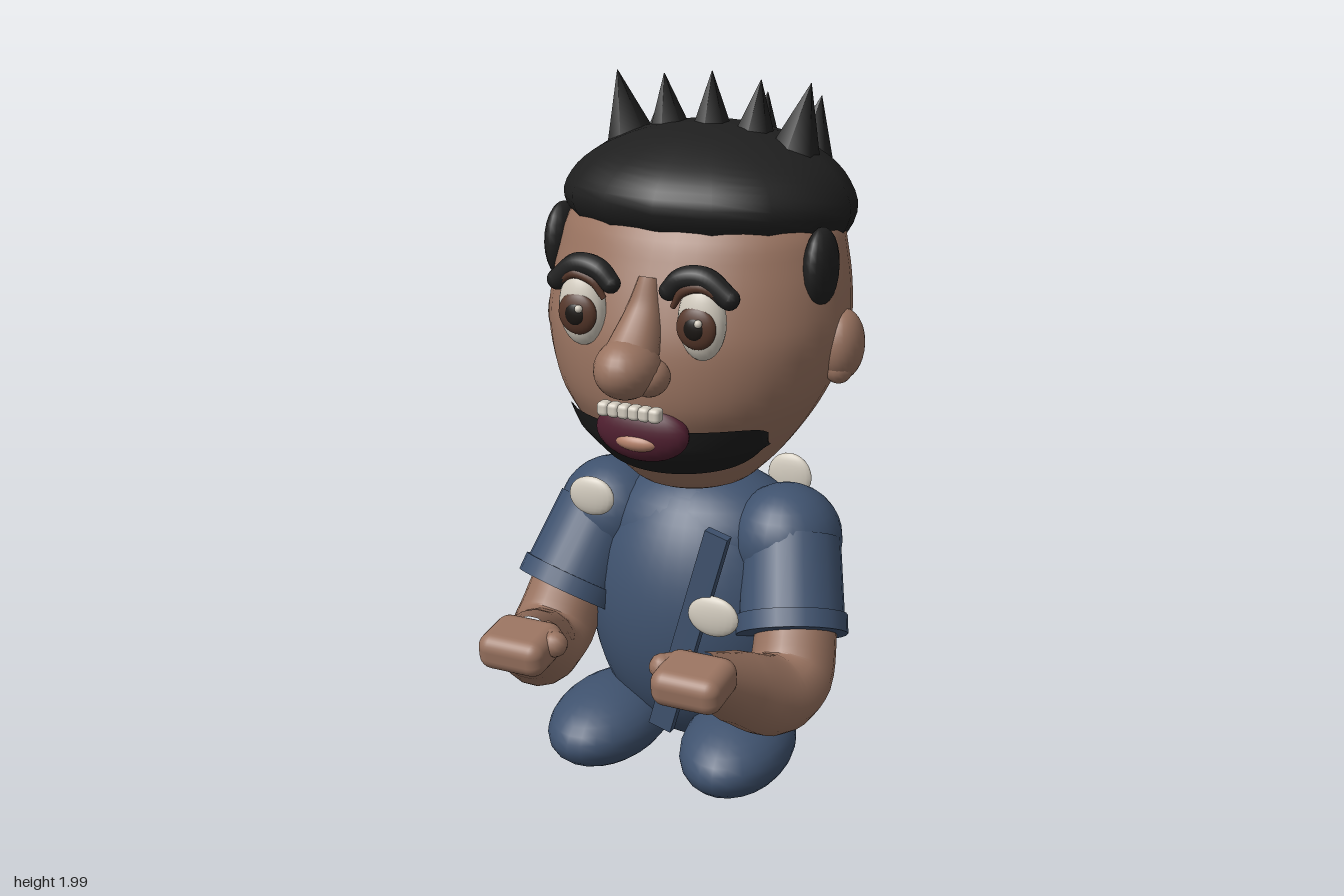
import * as THREE from 'three';
import { mergeVertices } from 'three/addons/utils/BufferGeometryUtils.js';
import { RoundedBoxGeometry } from 'three/addons/geometries/RoundedBoxGeometry.js';

const V = (x, y, z) => new THREE.Vector3(x, y, z);

// Moves every vertex by a rule, then welds the seams and smooths the normals
function warp(geo, rule) {
  const p = geo.attributes.position, v = V(0, 0, 0);
  for (let i = 0; i < p.count; i++) {
    v.fromBufferAttribute(p, i);
    rule(v);
    p.setXYZ(i, v.x, v.y, v.z);
  }
  geo.deleteAttribute('uv');
  geo.deleteAttribute('normal');
  const welded = mergeVertices(geo, 1e-5);
  welded.computeVertexNormals();
  return welded;
}

// Tube along points whose radius follows a list
function taperedTube(points, radii, rings = 24, sides = 16) {
  const curve = new THREE.CatmullRomCurve3(points);
  const geo = new THREE.TubeGeometry(curve, rings, 1, sides);
  const p = geo.attributes.position, n = geo.attributes.normal;
  for (let i = 0; i <= rings; i++) {
    const c = curve.getPointAt(i / rings), t = i / rings * (radii.length - 1);
    const k = Math.min(Math.floor(t), radii.length - 2);
    const r = THREE.MathUtils.lerp(radii[k], radii[k + 1], t - k);
    for (let j = 0; j <= sides; j++) {
      const q = i * (sides + 1) + j;
      p.setXYZ(q, c.x + r * n.getX(q), c.y + r * n.getY(q), c.z + r * n.getZ(q));
    }
  }
  return geo;
}

const profile = (list) => new THREE.SplineCurve(list.map(([x, y]) => new THREE.Vector2(x, y)));

export function createModel() {
  const model = new THREE.Group();
  const mat = (name, color, side = THREE.FrontSide) => {
    const m = new THREE.MeshStandardMaterial({ color, side });
    m.name = name;
    return m;
  };
  const skin = mat('skin', 0x997360), cloth = mat('blueCloth', 0x3f526e);
  const hair = mat('blackHair', 0x1f1f1f), beardMat = mat('beardBlack', 0x1c1c1c, THREE.DoubleSide);
  const white = mat('offWhite', 0xd2cbbe), irisMat = mat('irisBrown', 0x56372a);
  const pupilMat = mat('pupilBlack', 0x1a1613), maroon = mat('mouthMaroon', 0x501f30);
  const tongueMat = mat('tonguePink', 0xb5826b);

  const add = (name, geo, material, pos = [0, 0, 0]) => {
    const mesh = new THREE.Mesh(geo, material);
    mesh.name = name;
    mesh.position.set(...pos);
    model.add(mesh);
    return mesh;
  };
  const ball = (name, material, pos, radii, w = 24, h = 16) => {
    const mesh = add(name, new THREE.SphereGeometry(1, w, h), material, pos);
    mesh.scale.set(...radii);
    return mesh;
  };
  // Cylinder from a to b
  const rod = (name, material, a, b, ra, rb, sides = 24) => {
    const d = b.clone().sub(a);
    const mesh = add(name, new THREE.CylinderGeometry(rb, ra, d.length(), sides), material);
    mesh.position.copy(a).add(b).multiplyScalar(0.5);
    mesh.quaternion.setFromUnitVectors(V(0, 1, 0), d.normalize());
    return mesh;
  };

  // Head: narrow at the chin, full at the back
  const headPoints = profile([[0, 0.86], [0.14, 0.876], [0.212, 0.93], [0.275, 1.0], [0.345, 1.1], [0.396, 1.2],
    [0.427, 1.32], [0.428, 1.42], [0.412, 1.53], [0.38, 1.63], [0.27, 1.73], [0, 1.78]]).getPoints(44);
  const headCentre = (y) => -0.12 - 0.12 * (Math.max(y, 1.15) - 1.32);
  const headDepth = (y) => 0.905 + 0.34 * (1.32 - y);
  const headRadius = (y) => {
    const i = Math.max(1, headPoints.findIndex((p) => p.y >= y)), a = headPoints[i - 1], b = headPoints[i];
    return THREE.MathUtils.lerp(a.x, b.x, (y - a.y) / (b.y - a.y));
  };
  add('head', warp(new THREE.LatheGeometry(headPoints, 40, Math.PI), (v) => {
    v.z = v.z * headDepth(v.y) + headCentre(v.y);
  }), skin);

  // Beard: a band following the jaw
  add('beard', warp(new THREE.PlaneGeometry(2, 2, 32, 8), (v) => {
    const u = v.x, a = u * 1.1, round = Math.sqrt(Math.max(0, 1 - u ** 8));
    const mid = 1.035 + 0.015 * u * u, y = mid + v.y * (0.077 - 0.01 * u * u) * round;
    const r = headRadius(y) + 0.02 - 0.012 * Math.abs(v.y);
    v.set(Math.sin(a) * r, y, Math.cos(a) * (r * headDepth(y) + 0.006) + headCentre(y));
  }), beardMat);

  // Hair cap: tucked in underneath and lower at the back
  const capPoints = profile([[0.25, 1.57], [0.33, 1.545], [0.388, 1.58], [0.417, 1.65], [0.393, 1.715],
    [0.345, 1.768], [0.27, 1.812], [0.15, 1.852], [0, 1.866]]).getPoints(20);
  add('hairCap', warp(new THREE.LatheGeometry(capPoints, 16, Math.PI), (v) => {
    v.z *= 0.88;
    v.y += 0.16 * v.z * Math.min(1, Math.max(0, (1.8 - v.y) / 0.25));
    v.z -= 0.19;
  }), hair);

  // Two rows of hair spikes
  for (const [x, tip] of [[-0.24, -0.29], [-0.12, -0.145], [0, 0], [0.12, 0.145], [0.24, 0.29]])
    rod('frontSpike', hair, V(x, 1.77, -0.2), V(tip, x ? 1.985 : 2, -0.2), 0.08, 0.001, 6);
  for (const x of [-0.22, -0.08, 0.075, 0.225])
    rod('backSpike', hair, V(x, 1.75, -0.36), V(x * 1.08, 1.92, -0.4), 0.07, 0.001, 6);

  for (const s of [-1, 1]) {
    // Side of the head
    ball('sideburn', hair, [s * 0.388, 1.525, -0.05], [0.043, 0.11, 0.083], 16, 12);
    ball('ear', skin, [s * 0.42, 1.295, -0.14], [0.06, 0.1, 0.08]);
    ball('earLobe', skin, [s * 0.42, 1.235, -0.12], [0.04, 0.045, 0.045], 16, 12);

    // Eye
    ball('eyeWhite', white, [s * 0.175, 1.425, 0.24], [0.067, 0.105, 0.045]);
    ball('iris', irisMat, [s * 0.173, 1.415, 0.272], [0.056, 0.058, 0.022]);
    ball('pupil', pupilMat, [s * 0.173, 1.415, 0.288], [0.029, 0.03, 0.01], 16, 12);
    ball('eyeGlint', white, [s * 0.173 + 0.018, 1.435, 0.3], [0.011, 0.011, 0.011], 12, 8);
    add('eyelid', taperedTube([V(s * 0.1, 1.46, 0.26), V(s * 0.13, 1.505, 0.265), V(s * 0.19, 1.52, 0.265),
      V(s * 0.245, 1.48, 0.25)], [0.008, 0.014, 0.014, 0.008], 16, 8), irisMat);

    // Arched brow with rounded ends
    add('brow', taperedTube([V(s * 0.085, 1.5, 0.25), V(s * 0.12, 1.533, 0.25), V(s * 0.18, 1.54, 0.245),
      V(s * 0.25, 1.492, 0.238)], [0.027, 0.032, 0.034, 0.029], 20, 12), hair);
    ball('browEnd', hair, [s * 0.085, 1.5, 0.25], [0.027, 0.027, 0.027], 12, 8);
    ball('browEnd', hair, [s * 0.25, 1.492, 0.238], [0.029, 0.029, 0.029], 12, 8);

    ball('nostril', skin, [s * 0.052, 1.272, 0.295], [0.05, 0.05, 0.065]);

    // Shoulder, sleeve and cuff
    const top = V(s * 0.295, 0.71, -0.105), end = V(s * 0.357, 0.485, 0.025);
    ball('shoulder', cloth, [s * 0.275, 0.71, -0.12], [0.16, 0.158, 0.165]);
    rod('sleeve', cloth, top, end, 0.142, 0.15);
    rod('cuff', cloth, top.clone().lerp(end, 0.8), end, 0.157, 0.157);

    // Bent forearm, fist and thumb
    add('forearm', taperedTube([V(s * 0.36, 0.5, 0), V(s * 0.375, 0.39, 0.08), V(s * 0.365, 0.368, 0.17),
      V(s * 0.315, 0.435, 0.3), V(s * 0.262, 0.515, 0.43)], [0.115, 0.12, 0.112, 0.098, 0.065]), skin);
    const hand = add('hand', new RoundedBoxGeometry(0.2, 0.105, 0.17, 4, 0.04), skin, [s * 0.26, 0.515, 0.468]);
    hand.rotation.x = 0.14;
    rod('thumb', skin, V(s * 0.22, 0.52, 0.41), V(s * 0.162, 0.533, 0.455), 0.05, 0.036, 12);
    ball('thumbTip', skin, [s * 0.162, 0.533, 0.455], [0.036, 0.036, 0.036], 12, 8);

    // Foot
    const foot = ball('foot', cloth, [s * 0.205, 0.12, 0.045], [0.16, 0.114, 0.24]);
    foot.rotation.set(0.06, s * 0.1, 0);
  }

  // Nose
  ball('noseTip', skin, [0, 1.3, 0.325], [0.085, 0.082, 0.105]);
  add('noseBridge', taperedTube([V(0, 1.51, 0.19), V(0, 1.43, 0.22), V(0, 1.36, 0.272), V(0, 1.3, 0.33)],
    [0.03, 0.05, 0.066, 0.078], 16), skin);

  // Mouth, tongue and a row of teeth
  ball('mouth', maroon, [0, 1.1, 0.238], [0.137, 0.083, 0.052]);
  ball('tongue', tongueMat, [0, 1.08, 0.27], [0.064, 0.026, 0.03]);
  for (let i = 0; i < 6; i++)
    add('tooth', new RoundedBoxGeometry(0.034, 0.04, 0.04, 3, 0.012), white, [(i - 2.5) * 0.03, 1.177, 0.312]);

  // Body
  ball('torso', cloth, [0, 0.46, -0.145], [0.333, 0.425, 0.282], 40, 28);
  ball('upperTorso', cloth, [0, 0.675, -0.165], [0.31, 0.21, 0.235], 32, 20);
  const strap = add('strap', new THREE.BoxGeometry(0.07, 0.645, 0.03), cloth, [0.097, 0.493, 0.15]);
  strap.rotation.z = -0.273;

  // Pale round patches, front and back
  for (const [x, y, z, rx, ry] of [[-0.2, 0.855, 0.158, 0.07, 0.057], [0.175, 0.56, 0.16, 0.077, 0.06],
    [0.155, 0.775, -0.437, 0.07, 0.07], [-0.15, 0.5, -0.442, 0.088, 0.088], [0.07, 0.37, -0.435, 0.05, 0.05]])
    ball('patch', white, [x, y, z], [rx, ry, 0.02], 20, 12);

  return model;
}
